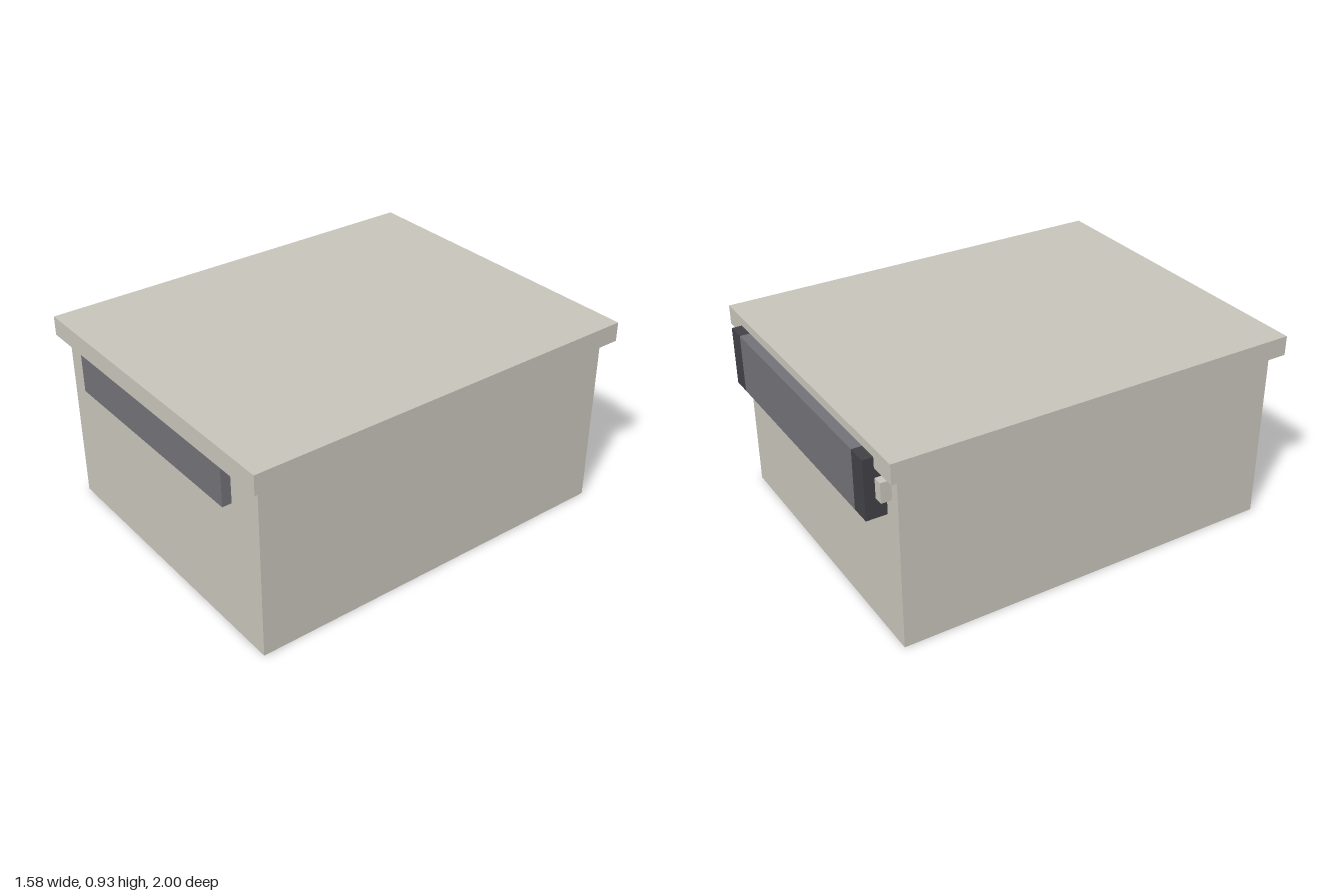
import * as THREE from 'three';

const mat = (name, color) => {
  const m = new THREE.MeshStandardMaterial({ color });
  m.name = name;
  return m;
};

export function createModel() {
  const beige = mat('warm beige', 0xc6c3b9);
  const grey = mat('mid grey', 0x727177);
  const dark = mat('dark grey', 0x414045);
  const model = new THREE.Group();
  model.name = 'lidded box';

  // Box given by its min and max on each axis
  const box = (name, material, [x0, x1], [y0, y1], [z0, z1]) => {
    const mesh = new THREE.Mesh(new THREE.BoxGeometry(x1 - x0, y1 - y0, z1 - z0), material);
    mesh.position.set((x0 + x1) / 2, (y0 + y1) / 2, (z0 + z1) / 2);
    mesh.name = name;
    model.add(mesh);
  };

  // Container and overhanging lid
  box('body', beige, [-0.742, 0.742], [0, 0.838], [-0.905, 0.955]);
  box('lid', beige, [-0.79, 0.79], [0.838, 0.93], [-0.953, 1]);

  // Front plate tucked under the lid
  box('frontPlate', grey, [-0.556, 0.556], [0.653, 0.838], [0.955, 0.999]);

  // Rear bar with dark end caps and side pegs
  box('rearBar', grey, [-0.556, 0.556], [0.608, 0.887], [-1, -0.905]);
  for (const s of [-1, 1]) {
    const span = (a, b) => (s > 0 ? [a, b] : [-b, -a]);
    box(s > 0 ? 'leftEndCap' : 'rightEndCap', dark, span(0.556, 0.65), [0.608, 0.887], [-1, -0.905]);
    box(s > 0 ? 'leftPeg' : 'rightPeg', beige, span(0.65, 0.695), [0.7, 0.793], [-0.953, -0.905]);
  }
  return model;
}
